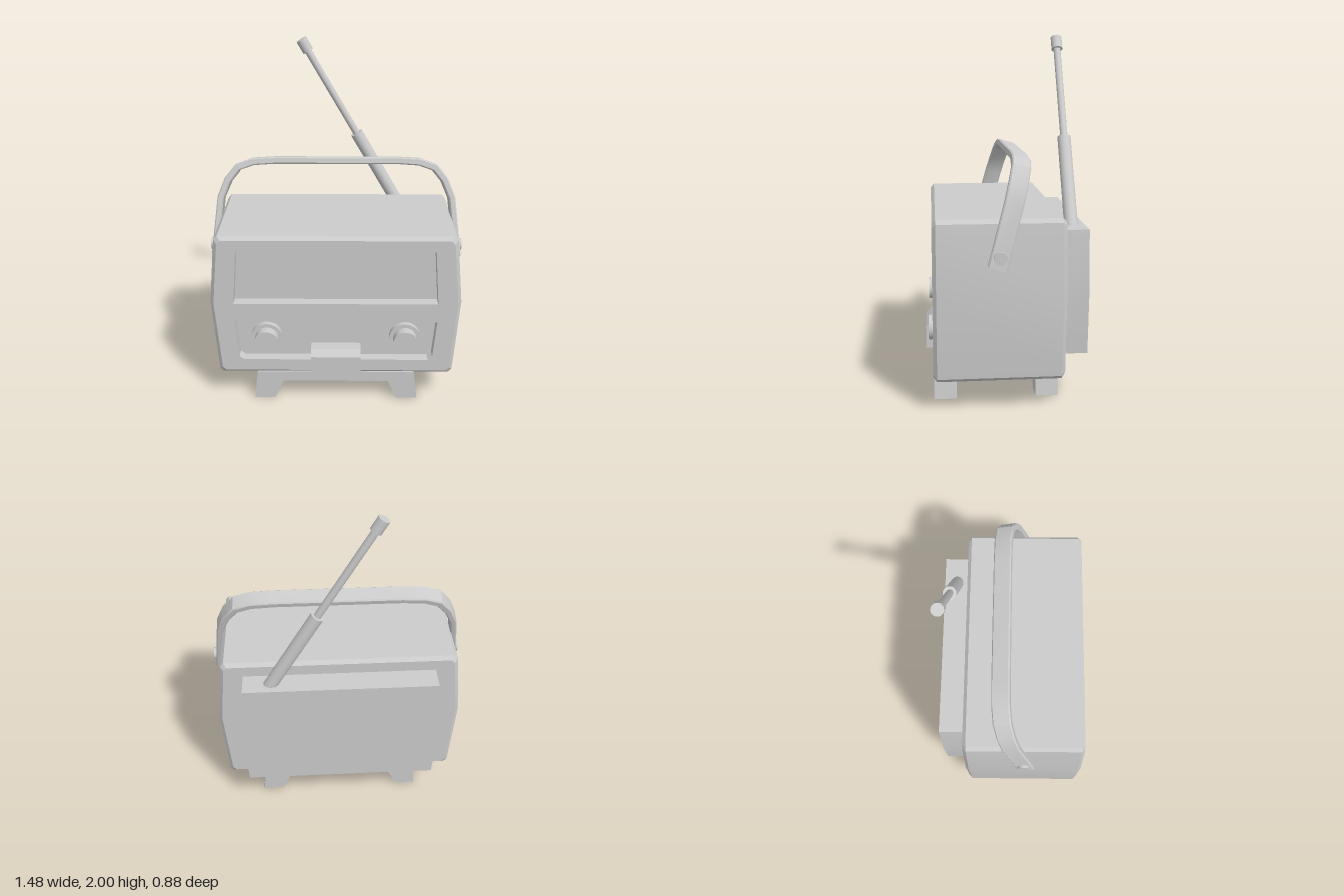
import * as THREE from 'three';
import { toCreasedNormals } from 'three/addons/utils/BufferGeometryUtils.js';

const grey = new THREE.MeshStandardMaterial({ color: 0xcccccc });

// right half of an outline -> full closed outline, symmetric about x = 0
const mirror = (half) => [...half, ...half.map(([x, y]) => [-x, y]).reverse()];
const toShape = (pts) => new THREE.Shape(pts.map(([x, y]) => new THREE.Vector2(x, y)));

function add(parent, name, geometry) {
  const mesh = new THREE.Mesh(geometry, grey);
  mesh.name = name;
  parent.add(mesh);
  return mesh;
}

// shape extruded from z0 to z1, optionally with narrow bevels inside its outline
function slab(shape, z0, z1, bevel = 0) {
  const g = new THREE.ExtrudeGeometry(shape, {
    depth: z1 - z0 - 2 * bevel, bevelEnabled: bevel > 0, bevelSize: bevel,
    bevelThickness: bevel, bevelOffset: -bevel, bevelSegments: 1,
  });
  return toCreasedNormals(g.translate(0, 0, z0 + bevel), 0.55);
}

// open shell through equal rings [points, z], clockwise seen from +z
function shell(rings) {
  const pos = [], index = [], n = rings[0][0].length;
  rings.forEach(([pts, z]) => pts.forEach(([x, y]) => pos.push(x, y, z)));
  for (let r = 0; r < rings.length - 1; r++) {
    for (let i = 0; i < n; i++) {
      const a = r * n + i, b = r * n + (i + 1) % n;
      index.push(a, a + n, b, b, a + n, b + n);
    }
  }
  const g = new THREE.BufferGeometry();
  g.setAttribute('position', new THREE.Float32BufferAttribute(pos, 3));
  g.setIndex(index);
  return toCreasedNormals(g, 0.4);
}

// cylinder between two points
function rod(parent, name, a, b, radius) {
  const dir = b.clone().sub(a);
  const mesh = add(parent, name, new THREE.CylinderGeometry(radius, radius, dir.length(), 20));
  mesh.position.copy(a).add(b).multiplyScalar(0.5);
  mesh.quaternion.setFromUnitVectors(new THREE.Vector3(0, 1, 0), dir.normalize());
}

export function createModel() {
  const model = new THREE.Group();
  model.name = 'portableRadio';

  // case with bevelled front and back edges
  const outline = mirror([[0.655, 1.04], [0.675, 1.018], [0.712, 0.635], [0.68, 0.193], [0.66, 0.173]]);
  const inset = outline.map(([x, y]) => [x * 0.972, 0.6065 + (y - 0.6065) * 0.953]);
  add(model, 'caseShell', shell([[inset, -0.3], [outline, -0.28], [outline, 0.378], [inset, 0.398]]));
  add(model, 'caseBack', slab(toShape(inset), -0.3, -0.28));

  // front frame with the two recesses and their floor; holes wind against the outline
  const frame = toShape(inset);
  frame.holes.push(
    toShape(mirror([[0.53, 0.97], [0.555, 0.95], [0.58, 0.63]]).reverse()),
    toShape(mirror([[0.58, 0.515], [0.56, 0.285], [0.535, 0.265]]).reverse()));
  add(model, 'frontFrame', slab(frame, 0.335, 0.398));
  add(model, 'recessFloor', slab(toShape(inset), 0.315, 0.335));

  // knobs
  for (const s of [-1, 1]) {
    const knob = new THREE.Group();
    knob.name = s > 0 ? 'leftKnob' : 'rightKnob';
    knob.position.set(s * 0.4, 0.39, 0.335);
    model.add(knob);
    for (const [name, r, len] of [['knobBase', 0.09, 0.03], ['knobCap', 0.068, 0.084]]) {
      add(knob, name, new THREE.CylinderGeometry(r, r, len, 28).rotateX(Math.PI / 2).translate(0, 0, len / 2));
    }
  }

  // latch with a chamfered upper edge, profile drawn in (z, y)
  const latch = toShape([[0.335, 0.176], [0.438, 0.176], [0.438, 0.305], [0.404, 0.34], [0.335, 0.34]]);
  add(model, 'latch', slab(latch, -0.143, 0.143).rotateY(-Math.PI / 2));

  // rear housing
  add(model, 'rearHousing', slab(toShape(mirror([[0.55, 0.955], [0.575, 0.62], [0.55, 0.268]])), -0.44, -0.29));

  // stand: front and back leg frames
  const legs = toShape(mirror([[0.458, 0.18], [0.48, 0], [0.36, 0], [0.305, 0.117]]));
  add(model, 'frontLegs', slab(legs, 0.27, 0.395));
  add(model, 'backLegs', slab(legs, -0.29, -0.167));

  // rails joining the legs, their inner faces sloping inwards to the case
  for (const s of [-1, 1]) {
    const side = toShape([[0.455, 0.18], [0.46, 0.117], [0.305, 0.117], [0.275, 0.18]].map(([x, y]) => [s * x, y]));
    add(model, 'sideRail', slab(side, -0.28, 0.385));
    const cross = toShape([[0.33, 0.18], [0.33, 0.117], [0.218, 0.117], [0.188, 0.18]].map(([z, y]) => [0.052 + s * z, y]));
    add(model, 'crossRail', slab(cross, -0.45, 0.45).rotateY(-Math.PI / 2));
  }

  // carrying handle, tilted backwards about its pivots
  const handle = new THREE.Group();
  handle.name = 'handle';
  handle.position.set(0, 0.85, 0.05);
  handle.rotation.x = -Math.PI / 12;
  model.add(handle);
  const outer = mirror([[0.736, -0.062], [0.696, 0.285], [0.653, 0.393], [0.59, 0.473], [0.495, 0.508], [0.36, 0.516]]);
  const inner = mirror([[0.7, -0.062], [0.66, 0.275], [0.618, 0.372], [0.565, 0.438], [0.48, 0.468], [0.36, 0.476]]);
  add(handle, 'handleStrap', slab(toShape([...outer, ...inner.reverse()]), -0.051, 0.051, 0.007));
  for (const s of [-1, 1]) {
    const pivot = add(handle, 'handlePivot', new THREE.CylinderGeometry(0.035, 0.035, 0.07, 20).rotateZ(Math.PI / 2));
    pivot.position.set(s * 0.706, 0, 0);
  }

  // telescopic antenna
  const antenna = new THREE.Group();
  antenna.name = 'antenna';
  model.add(antenna);
  const base = new THREE.Vector3(0.403, 0.93, -0.367), tip = new THREE.Vector3(-0.21, 1.983, -0.367);
  const at = (t) => base.clone().lerp(tip, t);
  rod(antenna, 'antennaSleeve', at(0), at(0.458), 0.038);
  rod(antenna, 'antennaRod', at(0.4), at(0.98), 0.021);
  rod(antenna, 'antennaTip', at(0.935), at(1), 0.033);

  return model;
}
